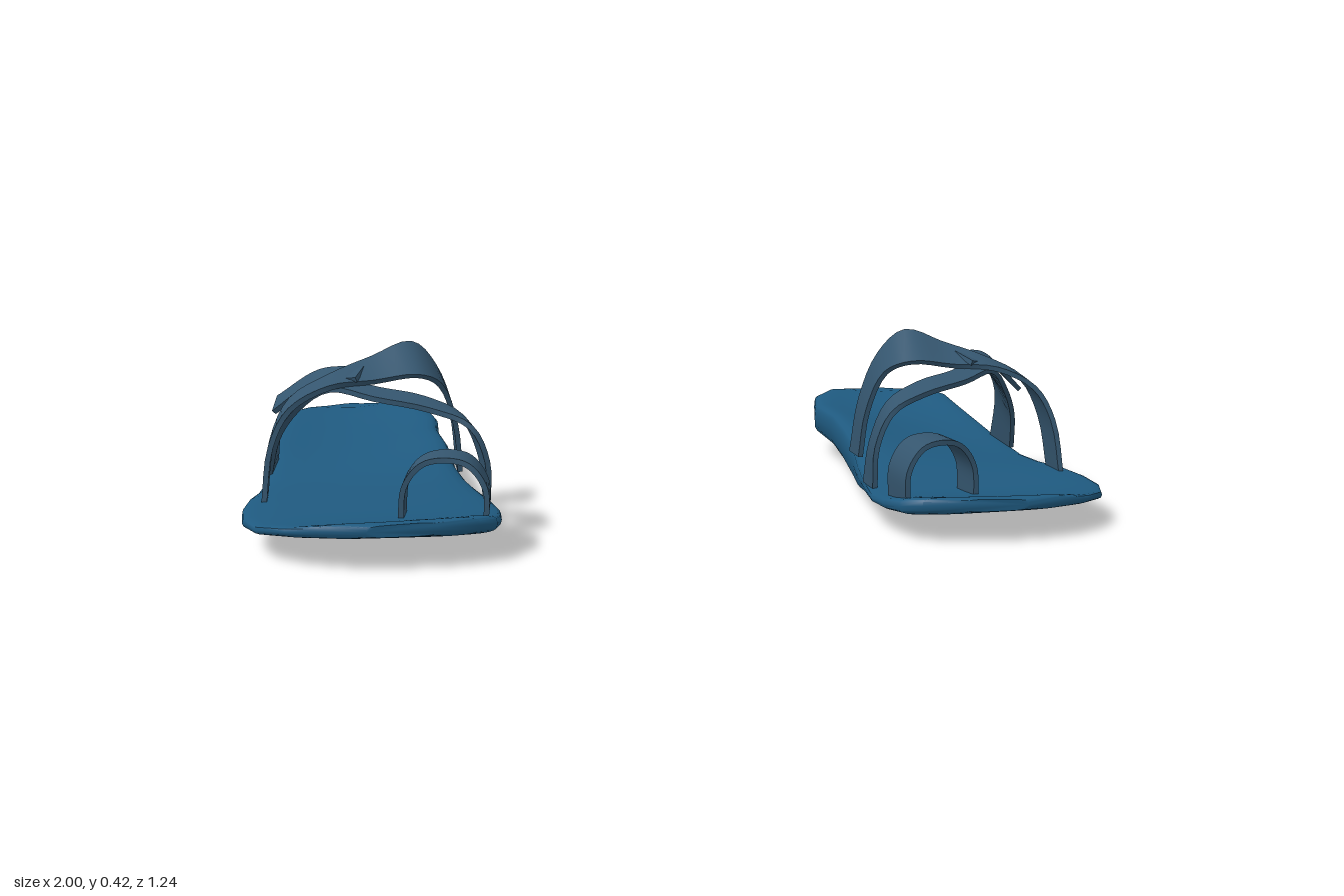
import * as THREE from 'three';
import { toCreasedNormals } from 'three/addons/utils/BufferGeometryUtils.js';

const soleBlue = new THREE.MeshStandardMaterial({ color: 0x1f5a80 });
soleBlue.name = 'soleBlue';
const strapSlate = new THREE.MeshStandardMaterial({ color: 0x35566f });
strapSlate.name = 'strapSlate';

// Skin a list of closed rings, capping both ends
function loft(rings) {
  const n = rings[0].length, pos = [], idx = [];
  rings.forEach(r => r.forEach(p => pos.push(p.x, p.y, p.z)));
  for (let i = 0; i < rings.length - 1; i++) {
    for (let j = 0; j < n; j++) {
      const a = i * n + j, b = i * n + (j + 1) % n;
      idx.push(a, b, a + n, b, b + n, a + n);
    }
  }
  const last = (rings.length - 1) * n;
  for (let j = 1; j < n - 1; j++) {
    idx.push(0, j + 1, j, last, last + j, last + j + 1);
  }
  const g = new THREE.BufferGeometry();
  g.setAttribute('position', new THREE.Float32BufferAttribute(pos, 3));
  g.setIndex(idx);
  return g;
}

// Footbed sections: z, inner x, outer x, top inner, top outer, bottom inner, bottom outer, dish
const sections = [
  [-0.62, 0.72, 0.79, 0.155, 0.155, 0.10, 0.10, 0],
  [-0.60, 0.67, 0.84, 0.165, 0.16, 0.09, 0.09, 0.01],
  [-0.565, 0.59, 0.89, 0.178, 0.168, 0.08, 0.08, 0.02],
  [-0.53, 0.545, 0.94, 0.172, 0.165, 0.07, 0.07, 0.03],
  [-0.45, 0.525, 0.955, 0.16, 0.145, 0.045, 0.045, 0.035],
  [-0.30, 0.53, 0.96, 0.16, 0.12, 0.035, 0.045, 0.035],
  [-0.15, 0.515, 0.955, 0.155, 0.105, 0.025, 0.04, 0.03],
  [0, 0.505, 0.965, 0.13, 0.085, -0.004, 0.03, 0.015],
  [0.10, 0.485, 0.975, 0.105, 0.085, 0.008, 0.035, 0.005],
  [0.20, 0.465, 0.99, 0.095, 0.09, 0.03, 0.05, 0],
  [0.30, 0.445, 1.0, 0.09, 0.09, 0.05, 0.055, 0],
  [0.40, 0.43, 0.995, 0.085, 0.09, 0.055, 0.055, 0],
  [0.48, 0.435, 0.965, 0.095, 0.09, 0.055, 0.06, 0.004],
  [0.55, 0.45, 0.90, 0.11, 0.10, 0.06, 0.07, 0.006],
  [0.59, 0.49, 0.83, 0.115, 0.11, 0.07, 0.075, 0.004],
  [0.615, 0.58, 0.73, 0.11, 0.105, 0.08, 0.08, 0],
];

function soleGeometry() {
  const N = 32, soft = v => Math.sign(v) * Math.sqrt(Math.abs(v));
  return loft(sections.map(([z, xi, xo, ti, to, bi, bo, dish]) => {
    const ring = [];
    for (let j = 0; j < N; j++) {
      const a = (j / N) * Math.PI * 2;
      const u = soft(Math.cos(a)), v = soft(Math.sin(a)), k = (u + 1) / 2;
      const top = ti + (to - ti) * k - dish * (1 - u * u);
      const bottom = bi + (bo - bi) * k;
      ring.push(new THREE.Vector3(xi + (xo - xi) * k, (top + bottom) / 2 + v * (top - bottom) / 2, z));
    }
    return ring;
  }));
}

// Thin ribbon between two edge curves; each row is front edge xyz, back edge xyz
function ribbonGeometry(rows, steps = 32, half = 0.006) {
  const edge = o => new THREE.CatmullRomCurve3(rows.map(r => new THREE.Vector3(r[o], r[o + 1], r[o + 2])));
  const front = edge(0), back = edge(3), rings = [];
  for (let i = 0; i <= steps; i++) {
    const t = i / steps, F = front.getPoint(t), B = back.getPoint(t);
    const T = front.getTangent(t).add(back.getTangent(t));
    const N = T.cross(B.clone().sub(F)).normalize().multiplyScalar(half);
    rings.push([F.clone().add(N), F.clone().sub(N), B.clone().sub(N), B.clone().add(N)]);
  }
  return loft(rings);
}

const straps = {
  frontStrap: [
    [0.455, 0.08, 0.35, 0.455, 0.08, 0.27],
    [0.455, 0.18, 0.36, 0.465, 0.18, 0.28],
    [0.49, 0.26, 0.36, 0.505, 0.27, 0.275],
    [0.58, 0.295, 0.32, 0.59, 0.31, 0.24],
    [0.70, 0.315, 0.27, 0.69, 0.325, 0.19],
    [0.80, 0.325, 0.18, 0.76, 0.335, 0.12],
    [0.88, 0.26, 0.07, 0.84, 0.33, 0.01],
    [0.93, 0.18, 0, 0.92, 0.23, -0.09],
    [0.955, 0.08, -0.06, 0.945, 0.08, -0.18],
  ],
  instepStrap: [
    [0.50, 0.10, 0.08, 0.50, 0.10, 0],
    [0.51, 0.22, 0.10, 0.515, 0.24, 0.02],
    [0.545, 0.32, 0.13, 0.555, 0.355, 0.04],
    [0.60, 0.35, 0.17, 0.61, 0.415, 0.07],
    [0.70, 0.34, 0.18, 0.70, 0.385, 0.09],
    [0.80, 0.335, 0.215, 0.80, 0.35, 0.13],
    [0.89, 0.29, 0.235, 0.89, 0.30, 0.15],
    [0.935, 0.21, 0.25, 0.935, 0.21, 0.165],
    [0.955, 0.07, 0.27, 0.955, 0.07, 0.19],
  ],
  strapTail: [
    [0.74, 0.35, 0.20, 0.72, 0.365, 0.13],
    [0.84, 0.325, 0.10, 0.82, 0.35, 0.05],
    [0.935, 0.25, 0.03, 0.925, 0.275, -0.04],
  ],
  toeLoop: [
    [0.475, 0.07, 0.54, 0.465, 0.07, 0.44],
    [0.475, 0.16, 0.54, 0.465, 0.16, 0.44],
    [0.515, 0.212, 0.53, 0.505, 0.212, 0.43],
    [0.60, 0.212, 0.505, 0.59, 0.212, 0.415],
    [0.645, 0.16, 0.49, 0.635, 0.16, 0.405],
    [0.655, 0.07, 0.485, 0.645, 0.07, 0.40],
  ],
};

// Mirror a geometry across x and restore its winding
function mirrored(g) {
  const m = g.clone().scale(-1, 1, 1), ix = m.index.array;
  for (let i = 0; i < ix.length; i += 3) [ix[i], ix[i + 1]] = [ix[i + 1], ix[i]];
  return m;
}

function sandal(name, mirror) {
  const group = new THREE.Group();
  group.name = name;
  const add = (part, g, material, crease) => {
    const mesh = new THREE.Mesh(toCreasedNormals(mirror ? mirrored(g) : g, crease), material);
    mesh.name = part;
    group.add(mesh);
  };
  add('sole', soleGeometry(), soleBlue, 0.9);
  for (const [part, rows] of Object.entries(straps)) add(part, ribbonGeometry(rows), strapSlate, 0.7);
  return group;
}

export function createModel() {
  const model = new THREE.Group();
  model.name = 'sandals';
  model.add(sandal('leftSandal', false), sandal('rightSandal', true));
  return model;
}
